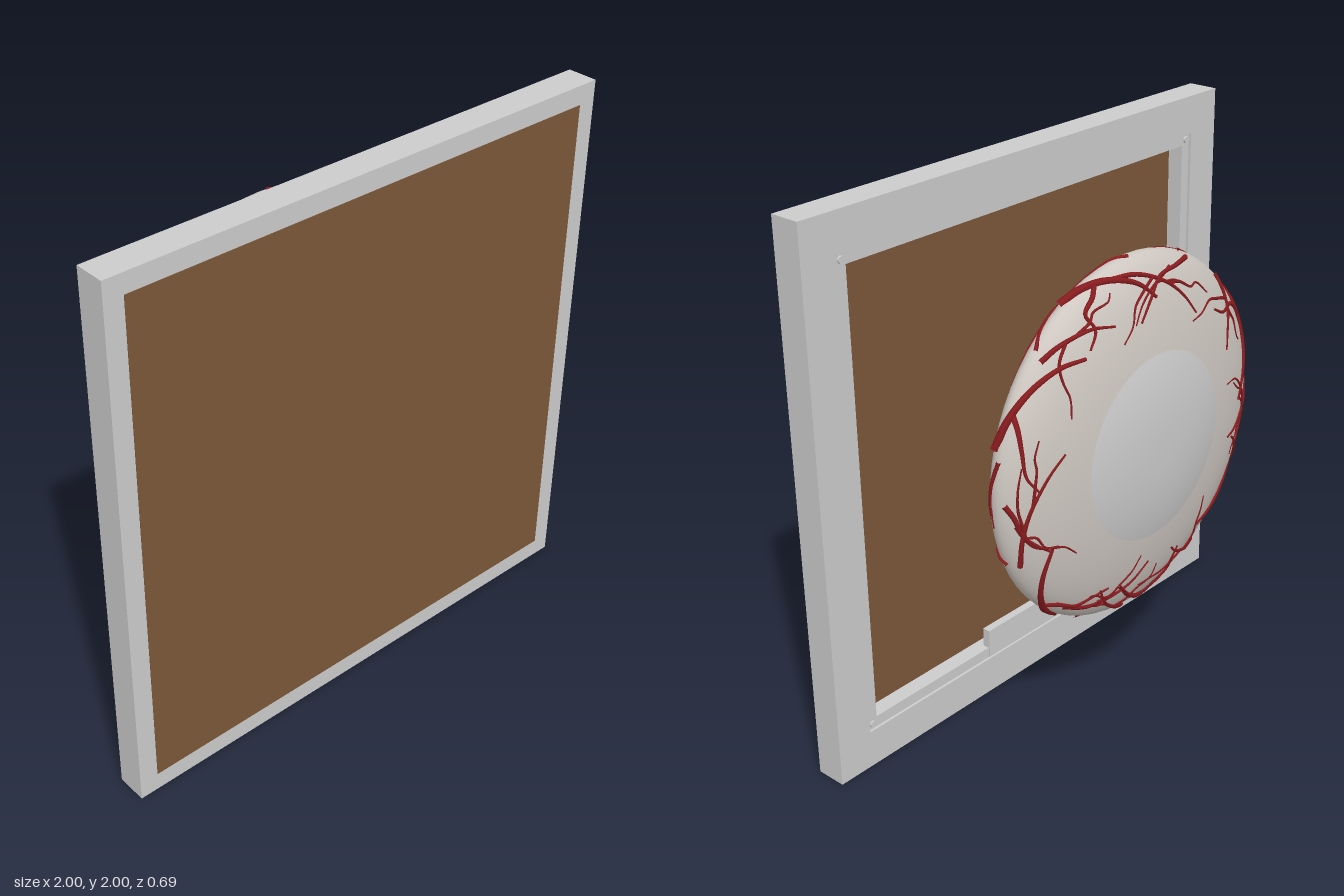
import * as THREE from 'three';

const mat = color => new THREE.MeshStandardMaterial({ color });
const GREY = mat(0xcccccc);
const BROWN = mat(0x7b573a);
const WHITE = mat(0xcfc8c2);
const VEIN = mat(0x8a1c1f);
const MUSCLE = mat(0x8c3034);

const EYE = new THREE.Vector3(0, 1.08, -0.175);
const EYE_R = 0.645;
const EYE_BACK = 0.155;
const EYE_FRONT = 0.135;

function add(parent, name, geometry, material, x = 0, y = 0, z = 0) {
  const mesh = new THREE.Mesh(geometry, material);
  mesh.name = name;
  mesh.position.set(x, y, z);
  parent.add(mesh);
  return mesh;
}

// Square ring with outer and inner half widths
function squareRing(outer, inner, depth) {
  const square = (Type, h) => new Type([[-h, -h], [h, -h], [h, h], [-h, h]].map(([x, y]) => new THREE.Vector2(x, y)));
  const shape = square(THREE.Shape, outer);
  shape.holes.push(square(THREE.Path, inner));
  return new THREE.ExtrudeGeometry(shape, { depth, bevelEnabled: false });
}

// Tube whose radius follows radiusAt(t), with t from 0 to 1 along the path
function taperedTube(points, radiusAt, segments, sides) {
  const curve = new THREE.CatmullRomCurve3(points);
  const geometry = new THREE.TubeGeometry(curve, segments, 1, sides);
  const pos = geometry.attributes.position;
  const v = new THREE.Vector3();
  for (let i = 0; i < pos.count; i++) {
    const t = Math.floor(i / (sides + 1)) / segments;
    const centre = curve.getPointAt(t);
    v.fromBufferAttribute(pos, i).sub(centre).multiplyScalar(radiusAt(t)).add(centre);
    pos.setXYZ(i, v.x, v.y, v.z);
  }
  geometry.computeVertexNormals();
  return geometry;
}

// Point on the eyeball: s = 0 at the -z pole, PI at the +z pole
function eyePoint(angle, s) {
  const depth = Math.cos(s) > 0 ? EYE_BACK : EYE_FRONT;
  return new THREE.Vector3(
    Math.cos(angle) * Math.sin(s) * EYE_R,
    Math.sin(angle) * Math.sin(s) * EYE_R,
    -Math.cos(s) * depth
  ).add(EYE);
}

function makeFrame() {
  const frame = new THREE.Group();
  frame.name = 'frame';
  add(frame, 'outerFrame', squareRing(1, 0.86, 0.113), GREY, 0, 1, 0.23);
  add(frame, 'innerLedge', squareRing(0.86, 0.82, 0.09), GREY, 0, 1, 0.24);
  add(frame, 'frontPanel', new THREE.BoxGeometry(1.86, 1.86, 0.01), BROWN, 0, 1, 0.34);
  add(frame, 'backPanel', new THREE.BoxGeometry(1.65, 1.65, 0.035), BROWN, 0, 1, 0.3175);
  add(frame, 'bottomBlock', new THREE.BoxGeometry(0.53, 0.11, 0.03), GREY, 0, 0.198, 0.25);
  // Corner pins on the ledge
  for (const x of [-0.84, 0.84]) {
    for (const y of [0.16, 1.84]) {
      const pin = add(frame, 'cornerPin', new THREE.CylinderGeometry(0.013, 0.013, 0.012, 12), GREY, x, y, 0.238);
      pin.rotation.x = Math.PI / 2;
    }
  }
  return frame;
}

function makeEye() {
  const eye = new THREE.Group();
  eye.name = 'eye';
  // Flattened eyeball, slightly deeper on the iris side
  const profile = [];
  for (let i = 0; i <= 32; i++) {
    const s = Math.PI * (1 - i / 32);
    const depth = s < Math.PI / 2 ? EYE_BACK : EYE_FRONT;
    profile.push(new THREE.Vector2(Math.max(0, Math.sin(s) * EYE_R), Math.cos(s) * depth));
  }
  const ball = add(eye, 'eyeball', new THREE.LatheGeometry(profile, 64), WHITE, EYE.x, EYE.y, EYE.z);
  ball.rotation.x = -Math.PI / 2;
  // Shallow domed iris, its rim sunk into the eyeball
  const dome = [];
  for (let i = 0; i <= 12; i++) {
    const r = 0.36 * (1 - i / 12);
    dome.push(new THREE.Vector2(r, 0.044 * (1 - (r / 0.36) ** 2.4)));
  }
  const iris = add(eye, 'iris', new THREE.LatheGeometry(dome, 48), GREY, 0, EYE.y, -0.3);
  iris.rotation.x = -Math.PI / 2;
  return eye;
}

function makeVeins() {
  const veins = new THREE.Group();
  veins.name = 'veins';
  let seed = 11;
  const rand = () => (seed = (seed * 16807) % 2147483647) / 2147483647;

  const vein = (angle, s, dAngle, dS, radius, forks) => {
    const points = [];
    for (let i = 0; i <= 4; i++) {
      const wobble = i ? (rand() - 0.5) * 0.06 : 0;
      points.push(eyePoint(angle + dAngle * i / 4 + wobble, s + dS * i / 4 - wobble));
    }
    add(veins, 'vein', taperedTube(points, t => radius * (1 - 0.6 * t), 24, 6), VEIN);
    // Side branches
    for (let k = 0; k < forks; k++) {
      const t = 0.25 + 0.2 * k + 0.15 * rand();
      const side = k % 2 ? 1 : -1;
      vein(angle + dAngle * t, s + dS * t, side * (0.2 + 0.25 * rand()), dS * 0.4 + side * 0.2, radius * 0.65, 0);
    }
  };

  // Long slanting veins from the rim towards the iris
  for (let i = 0; i < 11; i++) {
    const side = i % 3 ? 1 : -1;
    vein(i * 0.571 + rand() * 0.3, 1.45 - 0.2 * rand(), side * (0.25 + 0.5 * rand()), -0.4 - 0.25 * rand(), 0.01, 2);
  }
  // Veins from the rim towards the muscle side
  for (let i = 0; i < 10; i++) {
    const side = i % 2 ? 1 : -1;
    vein(i * 0.628 + rand() * 0.3, 1.5, side * (0.15 + 0.4 * rand()), 0.45 + 0.4 * rand(), 0.008, 1);
  }
  // Thick veins wrapping the rim
  for (let i = 0; i < 6; i++) {
    vein(i * 1.05 + rand() * 0.4, 1.68, 0.55 + rand() * 0.3, -0.75, 0.016, 1);
  }
  return veins;
}

function makeMuscles() {
  const muscles = new THREE.Group();
  muscles.name = 'muscles';
  // Root x, y on the eyeball, then x, y where the strands gather
  const layout = [
    [-0.03, 1.34, -0.03, 1.07],
    [0.36, 1.14, 0.11, 1.0],
    [0.2, 0.88, 0.07, 0.92],
    [-0.14, 0.87, -0.04, 0.9],
    [-0.33, 1.12, -0.11, 0.98],
  ];
  for (const [x, y, ex, ey] of layout) {
    const at = (f, z) => new THREE.Vector3(x + (ex - x) * f, y + (ey - y) * f, z);
    // Belly leaves the eyeball straight, then bends inwards
    const belly = [at(-0.08, -0.11), at(0, -0.05), at(0.32, 0.02), at(0.75, 0.09), at(0.95, 0.16)];
    add(muscles, 'muscle', taperedTube(belly, t => 0.108 - 0.08 * Math.pow(t, 0.9), 24, 14), MUSCLE);
    // Forked ends reaching the frame
    for (let k = 0; k < 3; k++) {
      const a = k * 2.1 + x * 5;
      const tip = new THREE.Vector3(ex + Math.cos(a) * 0.03, ey + Math.sin(a) * 0.03 - 0.02, 0.226 - 0.012 * k);
      const strand = [at(0.75, 0.09), at(0.93, 0.14), tip];
      add(muscles, 'muscleStrand', taperedTube(strand, t => 0.03 - 0.02 * t, 12, 8), MUSCLE);
      add(muscles, 'strandTip', new THREE.SphereGeometry(0.01, 8, 6), MUSCLE, tip.x, tip.y, tip.z);
    }
  }
  return muscles;
}

export function createModel() {
  const model = new THREE.Group();
  model.name = 'framedEye';
  model.add(makeFrame(), makeEye(), makeVeins(), makeMuscles());
  return model;
}
